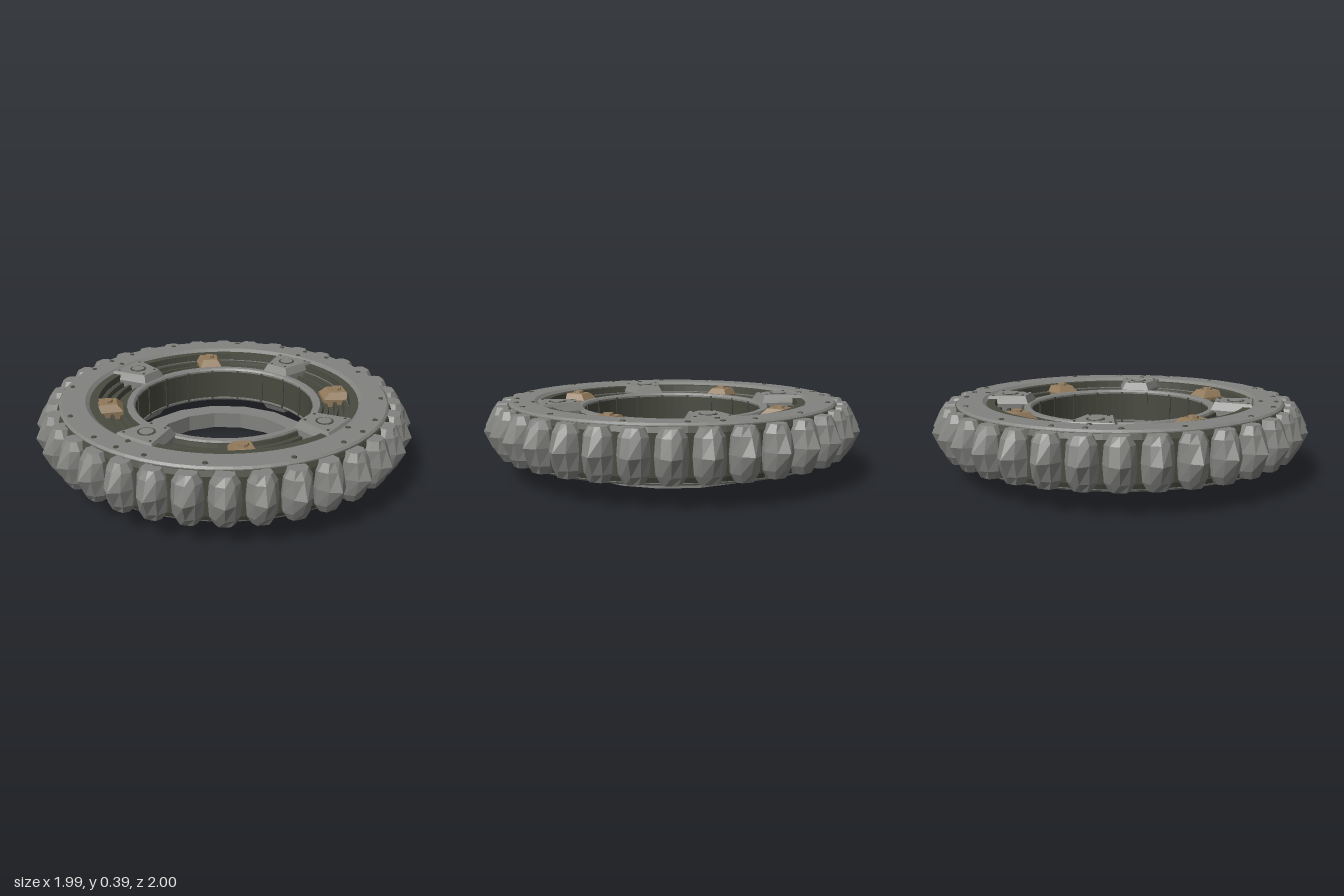
import * as THREE from 'three';

const mat = (name, color) => new THREE.MeshStandardMaterial({ name, color, flatShading: true });

// Closed skin through horizontal loops; each loop is { y, pts: [[x, z], ...] }, from bottom to top
function loft(loops) {
  const pos = [], index = [], n = loops[0].pts.length;
  loops.forEach(({ y, pts }) => pts.forEach(([x, z]) => pos.push(x, y, z)));
  for (let k = 0; k < loops.length - 1; k++) {
    for (let i = 0; i < n; i++) {
      const a = k * n + i, b = k * n + (i + 1) % n;
      index.push(a, b, b + n, a, b + n, a + n);
    }
  }
  const top = (loops.length - 1) * n;
  for (let i = 1; i < n - 1; i++) {
    index.push(0, i + 1, i);
    index.push(top, top + i, top + i + 1);
  }
  const g = new THREE.BufferGeometry();
  g.setAttribute('position', new THREE.Float32BufferAttribute(pos, 3));
  g.setIndex(index);
  g.computeVertexNormals();
  return g;
}

// Closed ring turned from a profile that runs up its outer side
const ring = (profile, sides) => new THREE.LatheGeometry(
  [...profile, profile[0]].map(([r, y]) => new THREE.Vector2(r, y)), sides);

// Trapezoid seen from above, wide towards the rim
const trapezoid = (r0, r1, w0, w1) => [[r0, w0], [r1, w1], [r1, -w1], [r0, -w0]];

export function createModel() {
  const model = new THREE.Group();
  const steel = mat('grey steel', 0x82827f);
  const dark = mat('dark olive metal', 0x484a3f);
  const bronze = mat('dull bronze', 0x927a5c);

  const add = (parent, name, geometry, material, x = 0, y = 0, z = 0) => {
    const m = new THREE.Mesh(geometry, material);
    m.name = name;
    m.position.set(x, y, z);
    parent.add(m);
    return m;
  };
  // Group turned to an angle around the axle
  const spoke = (parent, name, degrees) => {
    const g = new THREE.Group();
    g.name = name;
    g.rotation.y = THREE.MathUtils.degToRad(degrees);
    parent.add(g);
    return g;
  };

  // Separate ring below the wheel
  add(model, 'baseRing', ring([[0.51, 0], [0.51, 0.092], [0.4, 0.092], [0.4, 0]], 16), steel);

  const wheel = new THREE.Group();
  wheel.name = 'wheel';
  wheel.position.y = 0.243;
  model.add(wheel);

  // Dark core with stepped grooves, the same above and below
  const half = [[0.885, 0.1], [0.875, 0.125], [0.67, 0.125], [0.665, 0.085], [0.645, 0.085],
    [0.64, 0.06], [0.615, 0.06], [0.61, 0.078], [0.595, 0.078], [0.59, 0.05], [0.565, 0.05],
    [0.56, 0.07], [0.535, 0.07], [0.53, 0.09], [0.48, 0.09]];
  const mirrored = half.map(([r, y]) => [r, -y]).reverse();
  add(wheel, 'core', ring([...mirrored, ...half], 64), dark);

  // Panel seams on the inner wall
  const seam = new THREE.BoxGeometry(0.012, 0.18, 0.012);
  for (let i = 0; i < 20; i++) add(spoke(wheel, 'wallSeam', i * 18 + 9), 'seam', seam, dark, 0.48);

  // Pointed tread blocks
  const section = (y, w, tip) => ({
    y,
    pts: [[0.84, w * 0.85], [0.905, w], [(tip + 0.905) / 2 + 0.012, w * 0.62], [tip, 0],
      [(tip + 0.905) / 2 + 0.012, -w * 0.62], [0.905, -w], [0.84, -w * 0.85]],
  });
  const tooth = loft([
    section(-0.125, 0.046, 0.932), section(-0.085, 0.07, 0.96), section(0, 0.077, 1),
    section(0.085, 0.07, 0.96), section(0.125, 0.046, 0.932),
  ]);
  for (let i = 0; i < 34; i++) add(spoke(wheel, 'treadBlock', 90 + i * 360 / 34), 'tooth', tooth, steel);

  // Parts shared by both faces
  const plate = ring([[0.87, 0.112], [0.87, 0.13], [0.86, 0.14], [0.735, 0.14], [0.665, 0.09],
    [0.665, 0.08]], 64);
  const rim = ring([[0.525, 0.08], [0.515, 0.1], [0.485, 0.1], [0.476, 0.09], [0.476, 0.08]], 40);
  const clamp = loft([
    { y: 0.03, pts: trapezoid(0.495, 0.73, 0.08, 0.135) },
    { y: 0.1, pts: trapezoid(0.495, 0.73, 0.08, 0.135) },
    { y: 0.14, pts: trapezoid(0.515, 0.705, 0.062, 0.108) },
  ]);
  const bracket = loft([
    { y: 0.02, pts: trapezoid(0.54, 0.69, 0.062, 0.075) },
    { y: 0.09, pts: trapezoid(0.54, 0.69, 0.062, 0.075) },
    { y: 0.125, pts: trapezoid(0.572, 0.665, 0.042, 0.05) },
  ]);
  const clampBolt = new THREE.CylinderGeometry(0.036, 0.04, 0.02, 10);
  const boltCollar = new THREE.CylinderGeometry(0.046, 0.046, 0.008, 12);
  const bracketBolt = new THREE.CylinderGeometry(0.026, 0.03, 0.02, 8);
  const stud = new THREE.CylinderGeometry(0.013, 0.016, 0.008, 6);
  const rivet = new THREE.CylinderGeometry(0.007, 0.007, 0.006, 6);

  for (const side of ['top', 'bottom']) {
    const face = new THREE.Group();
    face.name = side + 'Face';
    if (side === 'bottom') face.rotation.x = Math.PI;
    wheel.add(face);
    add(face, 'sidePlate', plate, steel);
    add(face, 'hubRim', rim, steel);

    for (let q = 0; q < 4; q++) {
      // Large bolted clamp
      const c = spoke(face, 'clamp', q * 90);
      add(c, 'clampBody', clamp, steel);
      add(c, 'boltCollar', boltCollar, dark, 0.62, 0.138);
      add(c, 'clampBolt', clampBolt, steel, 0.62, 0.135);
      add(c, 'clampStud', stud, dark, 0.75, 0.14);
      for (const s of [-1, 1]) {
        add(c, 'clampRivet', rivet, dark, 0.535, 0.14, s * 0.045);
        add(c, 'clampRivet', rivet, dark, 0.688, 0.14, s * 0.085);
      }
      // Bronze bracket between clamps
      const b = spoke(face, 'bracket', q * 90 + 45);
      add(b, 'bracketBody', bracket, bronze);
      add(b, 'bracketBolt', bracketBolt, bronze, 0.62, 0.127);
      // Studs around the side plate
      for (const a of [-31, -11, 0, 11, 31]) {
        add(spoke(face, 'plateStud', q * 90 + a), 'stud', stud, dark, 0.83, 0.14);
      }
    }
  }
  return model;
}
